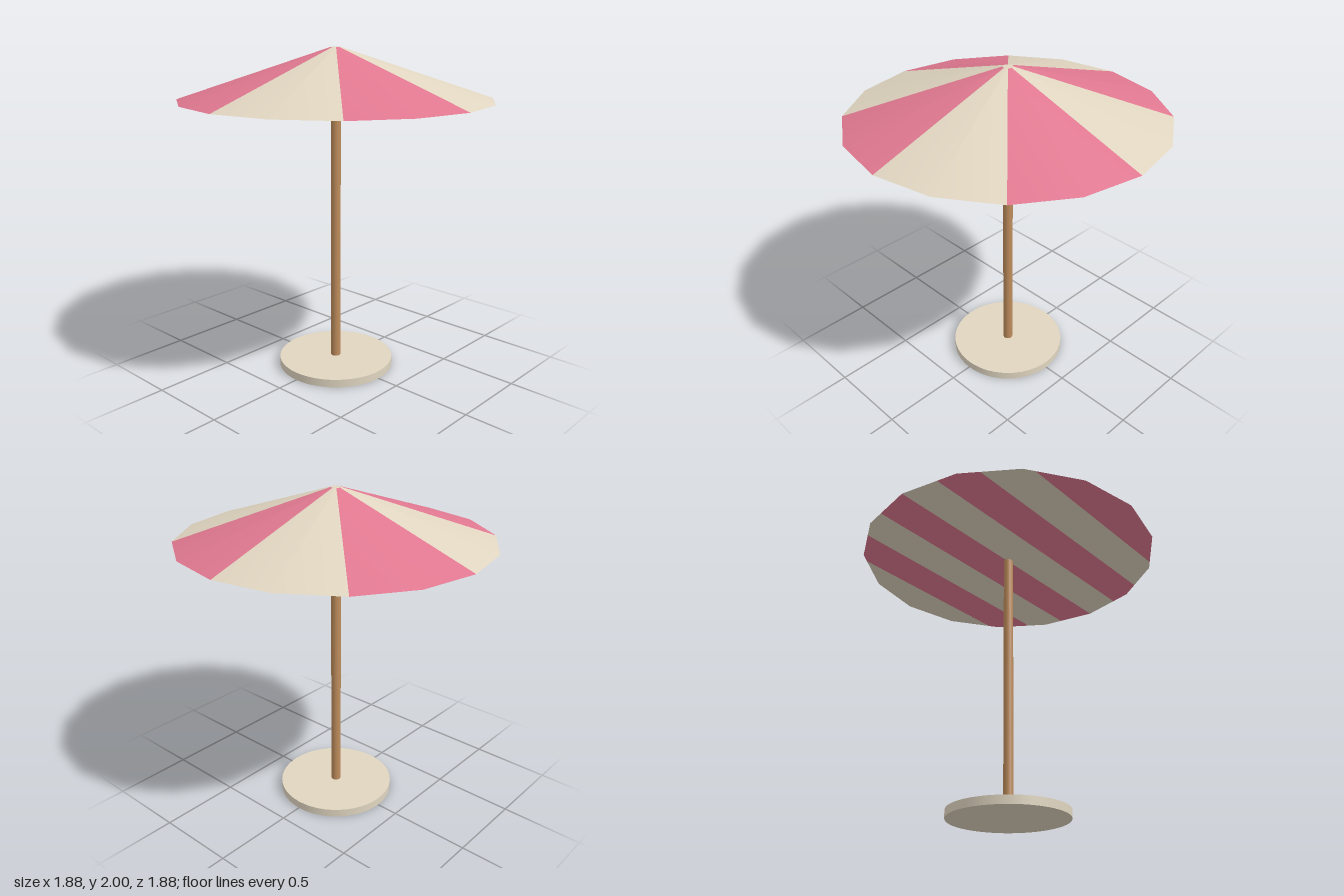
import * as THREE from 'three';

const R = 0.94, TOP_R = 0.03, RIM_Y = 1.7, TOP_Y = 2, SIDES = 16;

// Half-width of the 16-sided rim at depth z
function halfWidth(z) {
  for (let k = 0; k < SIDES / 2; k++) {
    const a = (k * 2 * Math.PI) / SIDES, b = ((k + 1) * 2 * Math.PI) / SIDES;
    const za = R * Math.cos(a), zb = R * Math.cos(b);
    if (z <= za + 1e-9 && z >= zb - 1e-9) {
      return R * THREE.MathUtils.lerp(Math.sin(a), Math.sin(b), (za - z) / (za - zb));
    }
  }
  return 0;
}

// One straight stripe of the underside between two depths, facing down
function underStripe(z0, z1) {
  const zs = [z0, z1];
  for (let k = 1; k < SIDES / 2; k++) {
    const z = R * Math.cos((k * 2 * Math.PI) / SIDES);
    if (z > z0 + 1e-6 && z < z1 - 1e-6) zs.push(z);
  }
  zs.sort((a, b) => a - b);
  const right = zs.map((z) => new THREE.Vector2(halfWidth(z), z));
  const left = zs.map((z) => new THREE.Vector2(-halfWidth(z), z)).reverse();
  const pts = [...right, ...left].filter((p, i, all) => i === 0 || p.distanceTo(all[i - 1]) > 1e-6);
  if (pts[0].distanceTo(pts[pts.length - 1]) < 1e-6) pts.pop();
  return new THREE.ShapeGeometry(new THREE.Shape(pts)).rotateX(Math.PI / 2);
}

export function createModel() {
  const model = new THREE.Group();
  model.name = 'parasol';

  const material = (name, color) => {
    const m = new THREE.MeshStandardMaterial({ color });
    m.name = name;
    return m;
  };
  const cream = material('cream', 0xe0d5c0);
  const pink = material('pink', 0xe07890);
  const wood = material('wood', 0xbd8c5c);

  const add = (parent, name, geometry, mat, y) => {
    const mesh = new THREE.Mesh(geometry, mat);
    mesh.name = name;
    mesh.position.y = y;
    parent.add(mesh);
  };

  // Base disc and pole
  add(model, 'base', new THREE.CylinderGeometry(0.36, 0.36, 0.05, 48), cream, 0.025);
  add(model, 'pole', new THREE.CylinderGeometry(0.03, 0.03, 1.66, 24), wood, 0.87);

  // Canopy: eight alternating wedges on top, eight straight stripes below
  const canopy = new THREE.Group();
  canopy.name = 'canopy';
  model.add(canopy);
  for (let i = 0; i < 8; i++) {
    const mat = i % 2 ? pink : cream;
    const wedge = new THREE.CylinderGeometry(
      TOP_R, R, TOP_Y - RIM_Y, 2, 1, true, (i * Math.PI) / 4, Math.PI / 4);
    add(canopy, 'canopyWedge', wedge, mat, (TOP_Y + RIM_Y) / 2);
    add(canopy, 'undersideStripe', underStripe(-R + (i * R) / 4, -R + ((i + 1) * R) / 4), mat, RIM_Y);
  }

  // Small flat crown
  const crown = new THREE.CircleGeometry(TOP_R, SIDES).rotateX(-Math.PI / 2);
  add(canopy, 'crown', crown, cream, TOP_Y);

  return model;
}
